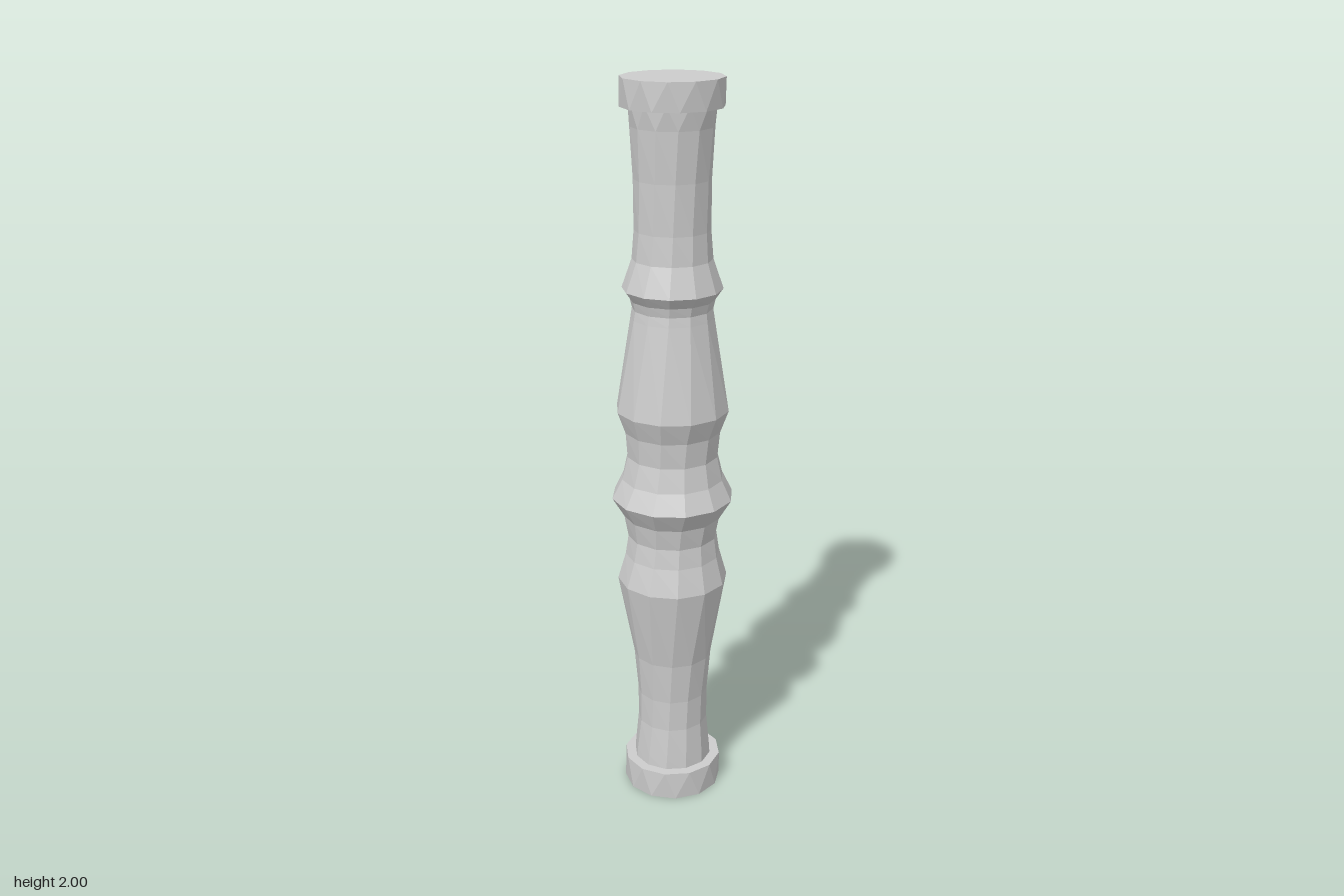
import * as THREE from 'three';

const SIDES = 12;
const material = new THREE.MeshStandardMaterial({ color: 0xcccccc, flatShading: true });

// Lathe a profile of [radius, height, twist in degrees], turning each ring by its twist.
function twistedLathe(name, profile) {
  const points = profile.map(([r, y]) => new THREE.Vector2(r, y));
  const geometry = new THREE.LatheGeometry(points, SIDES);
  const pos = geometry.attributes.position;
  const v = new THREE.Vector3();
  const up = new THREE.Vector3(0, 1, 0);
  for (let i = 0; i < pos.count; i++) {
    const twist = THREE.MathUtils.degToRad(profile[i % profile.length][2]);
    v.fromBufferAttribute(pos, i).applyAxisAngle(up, twist);
    pos.setXYZ(i, v.x, v.y, v.z);
  }
  geometry.computeVertexNormals();
  const mesh = new THREE.Mesh(geometry, material);
  mesh.name = name;
  return mesh;
}

// Short collar with slanted facets, closed at both ends.
function endCap(name, radius, y0, y1, twist0, twist1) {
  return twistedLathe(name, [
    [0, y0, twist0], [radius, y0, twist0], [radius, y1, twist1], [0, y1, twist1],
  ]);
}

export function createModel() {
  const group = new THREE.Group();
  group.name = 'turnedHandle';

  // Turned shaft: the facets wind slowly from bottom to top
  const bodyTwist = (y) => (y - 0.89) * 26;
  const shaftProfile = [
    [0.11, 0.07], [0.107, 0.11], [0.098, 0.2], [0.098, 0.29], [0.108, 0.41],
    [0.151, 0.645], [0.13, 0.72], [0.122, 0.775], [0.133, 0.835],
    [0.166, 0.89],
    [0.139, 0.945], [0.124, 1.01], [0.13, 1.08], [0.152, 1.14],
    [0.11, 1.39], [0.106, 1.415], [0.112, 1.44], [0.132, 1.468],
    [0.105, 1.545], [0.099, 1.62], [0.1, 1.75], [0.108, 1.88],
  ].map(([r, y]) => [r, y, bodyTwist(y)]);
  shaftProfile.push([0.113, 1.94, bodyTwist(1.88) + 15]);
  group.add(twistedLathe('shaft', shaftProfile));

  // Collars at the two ends
  group.add(endCap('bottomCap', 0.137, 0, 0.08, -38, -21));
  group.add(endCap('topCap', 0.133, 1.928, 2, 26, 43));

  return group;
}
